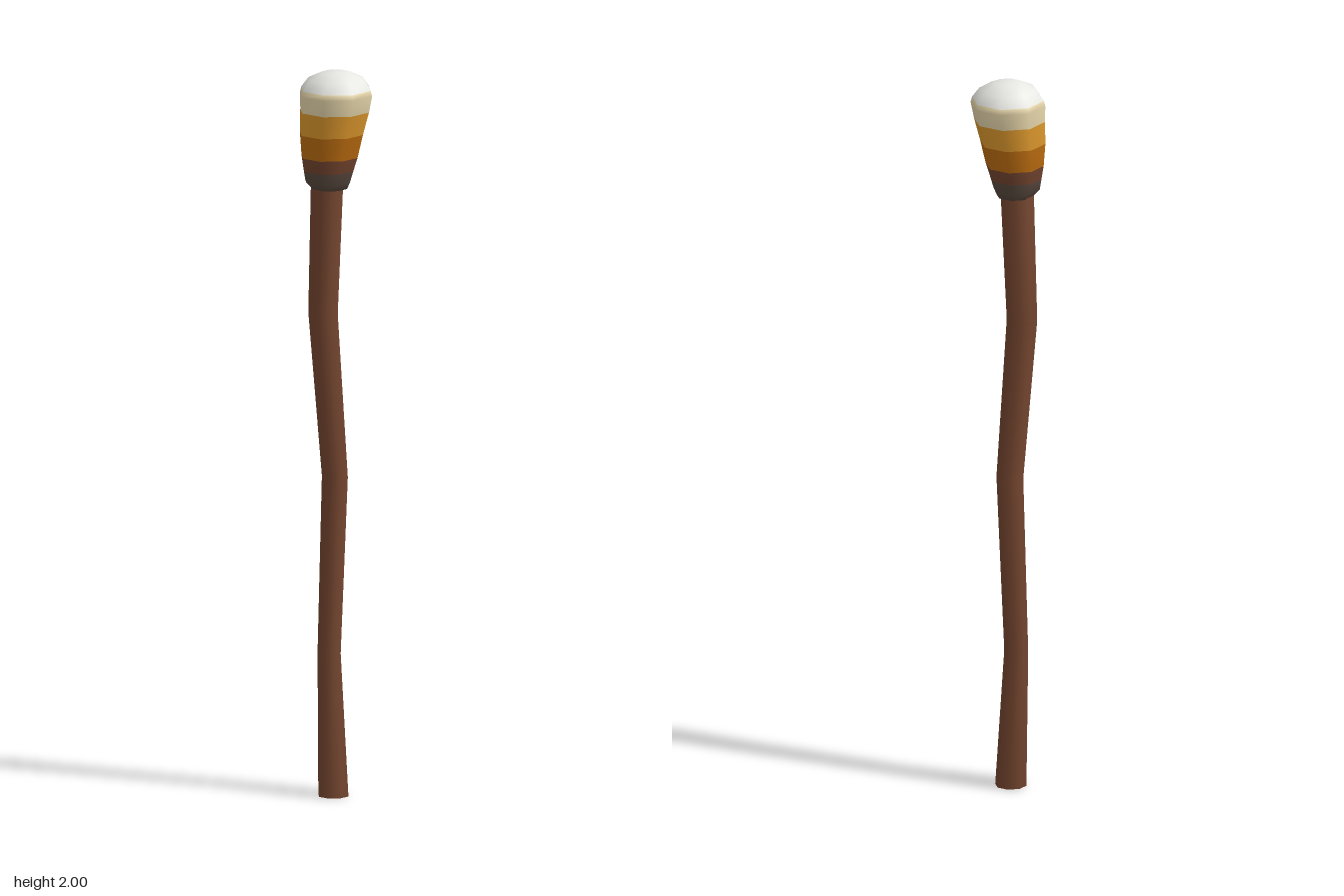
import * as THREE from 'three';

const SIDES = 8;
const TWIST = -0.125; // octagon turned slightly about y

function material(name, color) {
  const m = new THREE.MeshStandardMaterial({ color });
  m.name = name;
  return m;
}

// Smooth loft through octagonal rings [y, centreX, centreZ, radius, bandAbove]
function loft(rings, bottomBand, topBand) {
  const positions = [];
  const index = [];
  const geometry = new THREE.BufferGeometry();
  const band = (triangles, materialIndex) => {
    geometry.addGroup(index.length, triangles.length, materialIndex);
    index.push(...triangles);
  };

  for (const [y, cx, cz, r] of rings) {
    for (let i = 0; i < SIDES; i++) {
      const a = TWIST + (i / SIDES) * Math.PI * 2;
      positions.push(cx + Math.sin(a) * r, y, cz + Math.cos(a) * r);
    }
  }
  const last = rings.length - 1;
  for (const k of [0, last]) positions.push(rings[k][1], rings[k][0], rings[k][2]);
  const bottomCentre = rings.length * SIDES;
  const topCentre = bottomCentre + 1;

  const bottom = [];
  const top = [];
  for (let i = 0; i < SIDES; i++) {
    const j = (i + 1) % SIDES;
    bottom.push(bottomCentre, j, i);
    top.push(topCentre, last * SIDES + i, last * SIDES + j);
  }
  band(bottom, bottomBand);
  for (let k = 0; k < last; k++) {
    const quads = [];
    for (let i = 0; i < SIDES; i++) {
      const a = k * SIDES + i;
      const b = k * SIDES + ((i + 1) % SIDES);
      quads.push(a, b, b + SIDES, a, b + SIDES, a + SIDES);
    }
    band(quads, rings[k][4]);
  }
  band(top, topBand);

  geometry.setAttribute('position', new THREE.Float32BufferAttribute(positions, 3));
  geometry.setIndex(index);
  geometry.computeVertexNormals();
  return geometry;
}

export function createModel() {
  const group = new THREE.Group();
  group.name = 'torch';

  const wood = material('wood brown', 0x74452f);
  const bands = [
    material('charred grey', 0x5a4a40),
    wood,
    material('burnt orange', 0xbd6d10),
    material('amber', 0xe09a2e),
    material('cream', 0xeeddb0),
    material('hot white', 0xeaeae6),
  ];

  // Crooked wooden stick
  const stick = new THREE.Mesh(loft([
    [0, -0.008, -0.003, 0.043, 0],
    [0.39, -0.024, -0.024, 0.033, 0],
    [0.88, -0.006, -0.013, 0.037, 0],
    [1.33, -0.039, -0.015, 0.042, 0],
    [1.69, -0.025, 0, 0.046, 0],
  ], 0, 0), [wood]);
  stick.name = 'stick';
  group.add(stick);

  // Glowing head, banded from charred base to white-hot top
  const head = new THREE.Mesh(loft([
    [1.68, -0.018, 0, 0.05, 0],
    [1.7, -0.023, 0.002, 0.064, 0],
    [1.73, -0.021, 0.002, 0.071, 1],
    [1.768, -0.018, 0.001, 0.08, 2],
    [1.832, -0.013, 0, 0.09, 3],
    [1.895, -0.004, 0, 0.098, 4],
    [1.94, 0, 0, 0.103, 4],
    [1.955, 0, 0, 0.099, 5],
    [1.982, 0, 0, 0.079, 5],
    [2, 0, 0, 0.04, 5],
  ], 0, 5), bands);
  head.name = 'head';
  group.add(head);

  return group;
}
